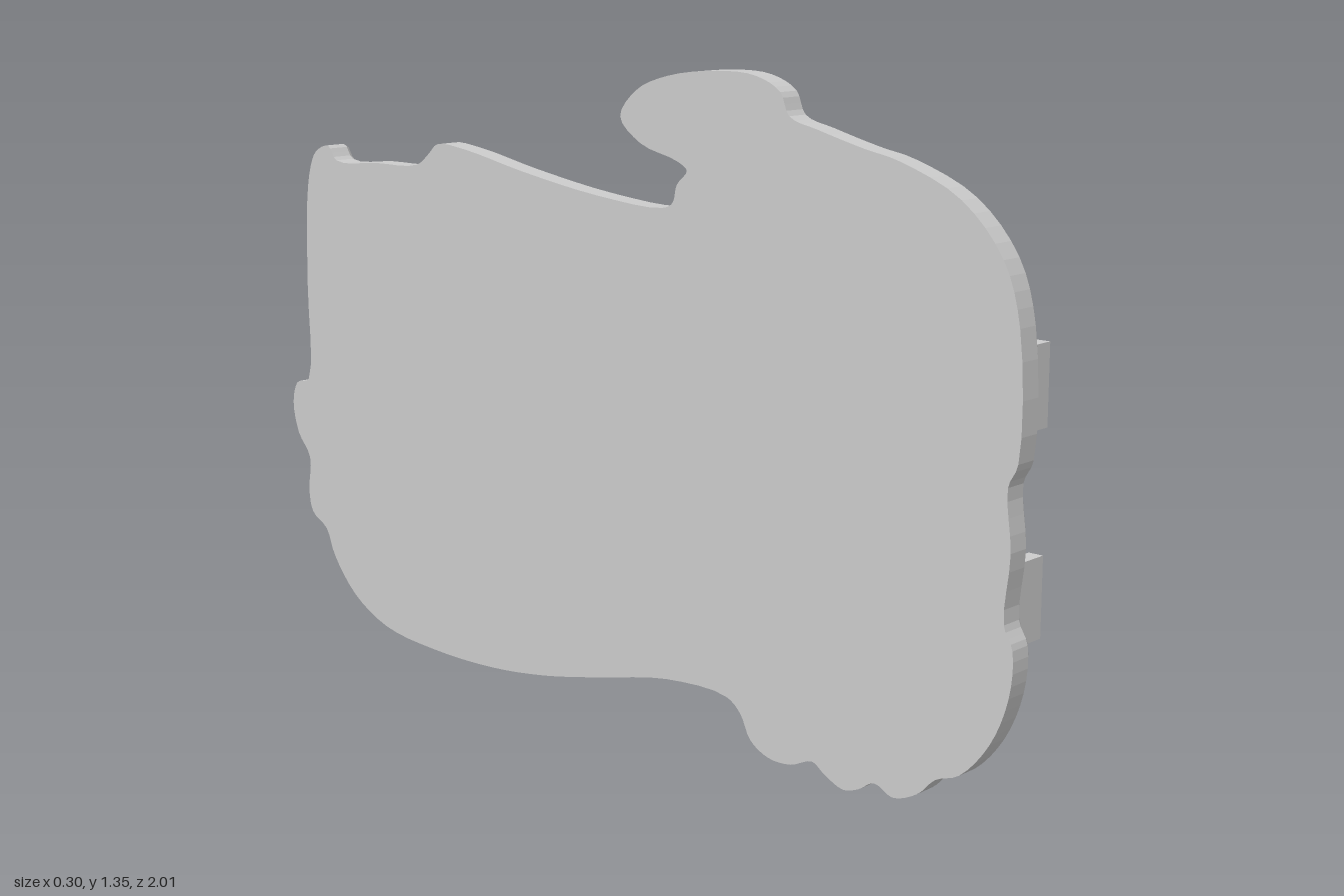
import * as THREE from 'three';

const material = new THREE.MeshStandardMaterial({ color: 0xcccccc, flatShading: true, side: THREE.DoubleSide });

const BACK = -0.15, FACE = -0.09;

// Plate outline as [z, y], from the lower front corner along the bottom
const OUTLINE = [
  [1, 0.36], [0.995, 0.27], [0.957, 0.174], [0.893, 0.1], [0.84, 0.078], [0.8, 0.04], [0.743, 0.018],
  [0.7, 0.035], [0.662, 0.013], [0.625, 0.003], [0.58, 0.022], [0.55, 0.04], [0.496, 0.02], [0.44, 0.02],
  [0.394, 0.045], [0.367, 0.094], [0.33, 0.12], [0.17, 0.12], [-0.02, 0.08], [-0.18, 0.048], [-0.34, 0.03],
  [-0.53, 0.03], [-0.69, 0.05], [-0.796, 0.104], [-0.866, 0.184], [-0.893, 0.243], [-0.94, 0.275],
  [-0.952, 0.323], [-0.946, 0.404], [-0.984, 0.457], [-1, 0.527], [-0.984, 0.575], [-0.942, 0.59],
  [-0.936, 0.805], [-0.93, 0.99], [-0.914, 1.078], [-0.893, 1.115], [-0.85, 1.13], [-0.823, 1.1],
  [-0.69, 1.104], [-0.555, 1.11], [-0.517, 1.136], [-0.49, 1.158], [-0.405, 1.153], [-0.233, 1.12],
  [-0.02, 1.088], [0.158, 1.078], [0.185, 1.09], [0.196, 1.126], [0.222, 1.155], [0.196, 1.172],
  [0.1, 1.2], [0.046, 1.249], [0.088, 1.302], [0.17, 1.334], [0.3, 1.35], [0.394, 1.345], [0.453, 1.318],
  [0.475, 1.275], [0.544, 1.254], [0.65, 1.227], [0.73, 1.21], [0.866, 1.152], [0.957, 1.056],
  [0.995, 0.94], [1, 0.7], [0.98, 0.655], [0.99, 0.537], [0.98, 0.404],
];

// Flat plate: three rings (back, shoulder, chamfered face) and two caps
function plateGeometry() {
  const curve = new THREE.CatmullRomCurve3(
    OUTLINE.map(([z, y]) => new THREE.Vector3(-z, y, 0)), true, 'centripetal');
  const n = OUTLINE.length * 4;
  const outer = [], inner = [];
  for (let i = 0; i < n; i++) {
    const p = curve.getPoint(i / n), t = curve.getTangent(i / n);
    outer.push(new THREE.Vector2(p.x, p.y));
    // the face is slightly smaller, more so along the hook and the rear bump
    const q = new THREE.Vector2(p.x - t.y * 0.008, p.y + t.x * 0.008);
    if (p.y > 1.22 && p.x < -0.1) q.y -= 0.014 * Math.min(1, (-p.x - 0.1) / 0.1);
    q.x = Math.min(q.x, 0.965);
    inner.push(q);
  }
  const positions = [], index = [];
  [[BACK, outer], [-0.102, outer], [FACE, inner]].forEach(([x, ring]) =>
    ring.forEach((p) => positions.push(x, p.y, -p.x)));
  for (let r = 0; r < 2; r++) {
    for (let i = 0; i < n; i++) {
      const j = (i + 1) % n;
      const a = r * n + i, b = r * n + j;
      index.push(a, b, a + n, b, b + n, a + n);
    }
  }
  for (const [a, b, c] of THREE.ShapeUtils.triangulateShape(outer, [])) index.push(a, c, b);
  for (const [a, b, c] of THREE.ShapeUtils.triangulateShape(inner, [])) index.push(2 * n + a, 2 * n + b, 2 * n + c);
  const g = new THREE.BufferGeometry();
  g.setAttribute('position', new THREE.Float32BufferAttribute(positions, 3));
  g.setIndex(index);
  const flat = g.toNonIndexed();
  flat.computeVertexNormals();
  return flat;
}

// Box between two corners given in any order
function block(name, [x0, y0, z0], [x1, y1, z1]) {
  const g = new THREE.BoxGeometry(Math.abs(x1 - x0), Math.abs(y1 - y0), Math.abs(z1 - z0));
  g.translate((x0 + x1) / 2, (y0 + y1) / 2, (z0 + z1) / 2);
  const mesh = new THREE.Mesh(g, material);
  mesh.name = name;
  return mesh;
}

// L-shaped corner bracket: arm along z, leg along y, small stop in the corner
function bracket({ z, dz, length, tip, trimmed }, { y, dy }) {
  const group = new THREE.Group();
  const root = FACE - 0.01, t = 0.032;
  const leg = block('bracketLeg', [root, y, z], [tip, y + dy * 0.163, z + dz * t]);
  group.add(
    leg,
    block('bracketArm', [root, y, z + dz * t], [tip, y + dy * t, z + dz * length]),
    block('bracketStop', [root, y + dy * t, z + dz * t], [-0.03, y + dy * 0.093, z + dz * 0.093]));
  // the rear brackets have their outermost corner cut off
  if (trimmed) {
    const p = leg.geometry.attributes.position;
    for (let i = 0; i < p.count; i++) {
      const atCorner = Math.abs(p.getX(i) - tip) < 1e-4 && Math.abs(p.getY(i) - y) < 1e-4 && Math.abs(p.getZ(i) - z) < 1e-4;
      if (atCorner) p.setZ(i, z + dz * 0.029);
    }
    leg.geometry.computeVertexNormals();
  }
  return group;
}

export function createModel() {
  const model = new THREE.Group();
  model.name = 'plateWithBrackets';

  const plate = new THREE.Mesh(plateGeometry(), material);
  plate.name = 'plate';
  model.add(plate);

  // Two sets of four brackets, each framing a rectangle
  const columns = [
    { name: 'frontOuter', z: 0.877, dz: -1, length: 0.125, tip: 0.127 },
    { name: 'frontInner', z: 0.065, dz: 1, length: 0.18, tip: 0.127 },
    { name: 'rearInner', z: -0.077, dz: -1, length: 0.18, tip: 0.145 },
    { name: 'rearOuter', z: -0.887, dz: 1, length: 0.127, tip: 0.145, trimmed: true },
  ];
  const rows = [{ name: 'Upper', y: 0.866, dy: -1 }, { name: 'Lower', y: 0.293, dy: 1 }];
  for (const column of columns) {
    for (const row of rows) {
      const b = bracket(column, row);
      b.name = column.name + row.name + 'Bracket';
      model.add(b);
    }
  }
  return model;
}
